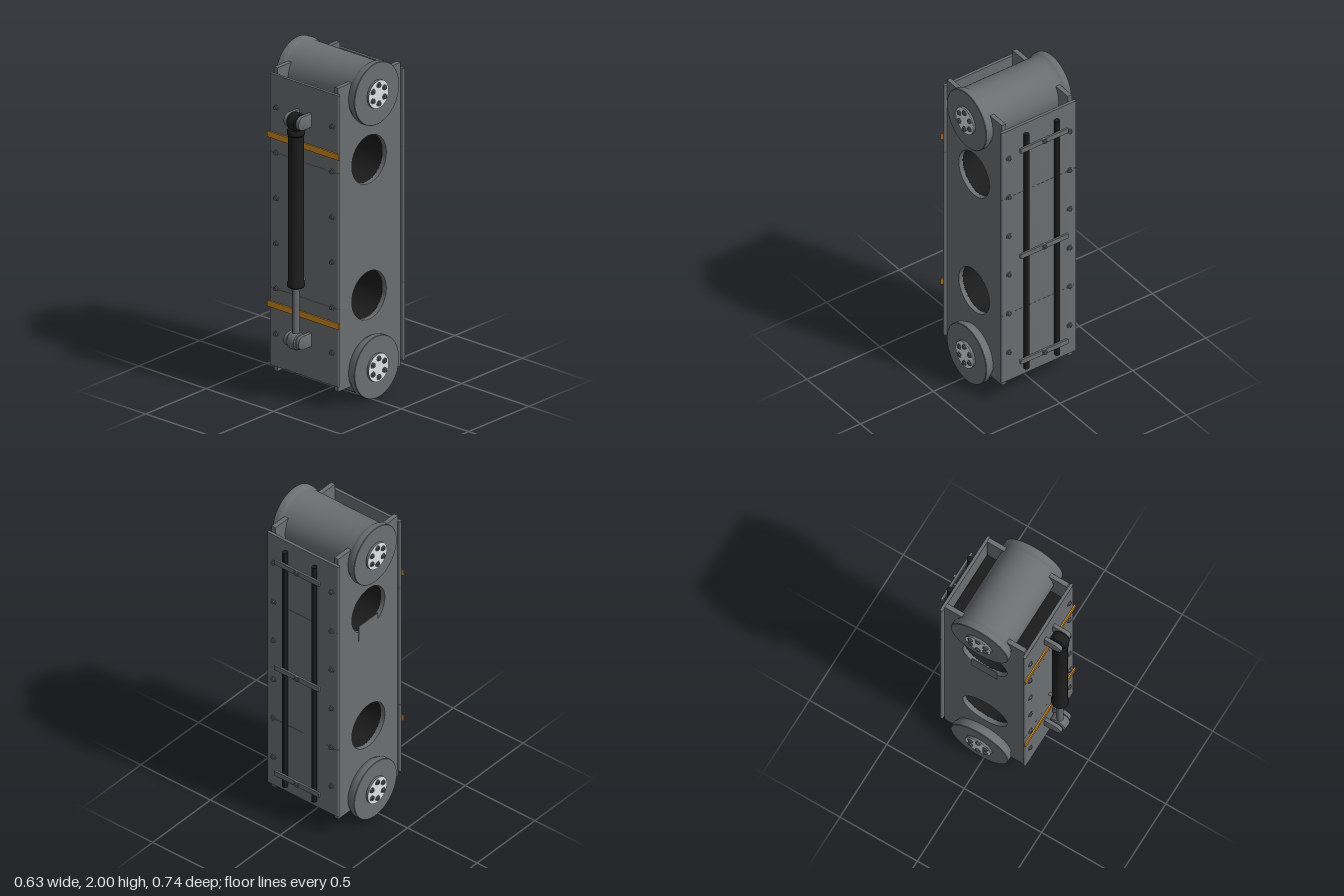
import * as THREE from 'three';
import { RoundedBoxGeometry } from 'three/addons/geometries/RoundedBoxGeometry.js';
import { toCreasedNormals } from 'three/addons/utils/BufferGeometryUtils.js';

const paint = (name, color) => {
  const m = new THREE.MeshStandardMaterial({ color });
  m.name = name;
  return m;
};

export function createModel() {
  const steel = paint('steel grey', 0x6b6f72);
  const black = paint('matte black', 0x1c1c1c);
  const orange = paint('orange', 0xd28a20);
  const bright = paint('bright metal', 0xe0e2e3);
  const model = new THREE.Group();
  model.name = 'rollerLeg';

  const DZ = -0.028;             // axis of drums
  const HOLES = [0.6, 1.41];     // heights of side openings and panel joints
  const PI = Math.PI;

  const add = (name, geo, mat, x = 0, y = 0, z = 0, parent = model) => {
    const m = new THREE.Mesh(geo, mat);
    m.name = name;
    m.position.set(x, y, z);
    parent.add(m);
    return m;
  };
  const cyl = (r, h, seg = 32) => toCreasedNormals(new THREE.CylinderGeometry(r, r, h, seg), 0.8);
  const cylX = (r, h, seg) => cyl(r, h, seg).rotateZ(PI / 2);
  const cylZ = (r, h, seg) => cyl(r, h, seg).rotateX(PI / 2);
  const lathe = (pts, seg = 48) => toCreasedNormals(
    new THREE.LatheGeometry(pts.map(p => new THREE.Vector2(...p)), seg), 0.6);

  // Slab in the z-y plane pierced by the two round openings, extruded along x
  function piercedSlab(z0, z1, y0, y1, width) {
    const s = new THREE.Shape();
    s.moveTo(-z1, y0); s.lineTo(-z0, y0); s.lineTo(-z0, y1); s.lineTo(-z1, y1); s.closePath();
    for (const y of HOLES) s.holes.push(new THREE.Path().absarc(0.024, y, 0.143, 0, PI * 2, true));
    const g = new THREE.ExtrudeGeometry(s, { depth: width, bevelEnabled: false, curveSegments: 32 });
    return toCreasedNormals(g.translate(0, 0, -width / 2).rotateY(PI / 2), 0.6);
  }

  // Side plates and dark inner core
  for (const s of [-1, 1]) {
    add(s > 0 ? 'leftSidePlate' : 'rightSidePlate',
      piercedSlab(-0.285, 0.231, 0.1, 1.91, 0.027), steel, s * 0.2255);
  }
  add('innerCore', piercedSlab(-0.283, 0.227, 0.3, 1.7, 0.423), black);
  add('rightTag', new THREE.BoxGeometry(0.005, 0.105, 0.165), steel, -0.2405, 1.287, -0.026);

  // Front and back covers: three butted panels with rounded long edges
  function coverPanel(height, thick) {
    const r = thick / 2, w = 0.257;
    const s = new THREE.Shape();
    s.absarc(w - r, 0, r, -PI / 2, PI / 2);
    s.absarc(-w + r, 0, r, PI / 2, PI * 1.5);
    s.closePath();
    const g = new THREE.ExtrudeGeometry(s, { depth: height, bevelEnabled: false, curveSegments: 10 });
    return toCreasedNormals(g.rotateX(-PI / 2), 0.6);
  }

  // Socket-head bolt on a washer, pointing along +y of its group
  const boltHead = lathe([[0.012, 0], [0.012, 0.011], [0.006, 0.011], [0.006, 0.006], [0, 0.006]], 12);
  function bolt(name, x, y, z, parent = model) {
    const g = new THREE.Group();
    g.name = name;
    g.position.set(x, y, z);
    add('washer', cyl(0.0175, 0.005, 20), steel, 0, 0.002, 0, g);
    add('head', boltHead, steel, 0, 0, 0, g);
    parent.add(g);
    return g;
  }
  for (const [side, z, dir] of [['front', 0.239, 1], ['back', -0.2975, -1]]) {
    const cuts = [0.135, ...HOLES, 1.875];
    for (let i = 0; i < 3; i++) {
      add(side + 'Cover', coverPanel(cuts[i + 1] - cuts[i] - 0.001, 0.018), steel, 0, cuts[i], z);
    }
    for (let i = 0; i < 6; i++) {
      for (const x of [-0.208, 0.208]) {
        bolt(side + 'Bolt', x, 0.33 + i * 0.27, z + dir * 0.009).rotation.x = dir * PI / 2;
      }
    }
  }

  // Orange bands across the front
  for (const y of [0.5, 1.51]) {
    add('orangeBand', new THREE.BoxGeometry(0.535, 0.035, 0.008), orange, 0, y, 0.252);
  }

  // Flanged drums with bolted hubs
  const half = [[0.185, 0.262], [0.182, 0.255], [0.176, 0.247], [0.1725, 0.236]];
  const drumProfile = [
    [0, -0.294], [0.182, -0.294], [0.185, -0.291],
    ...half.map(([r, x]) => [r, -x]),
    ...half.slice().reverse(),
    [0.185, 0.291], [0.182, 0.294], [0, 0.294],
  ];
  for (const [name, y] of [['lowerDrum', 0.185], ['upperDrum', 1.815]]) {
    const g = new THREE.Group();
    g.name = name;
    g.position.set(0, y, DZ);
    add('drum', lathe(drumProfile, 64).rotateZ(PI / 2), steel, 0, 0, 0, g);
    for (const s of [-1, 1]) {
      add('hub', cylX(0.083, 0.014, 40), steel, s * 0.3, 0, 0, g);
      add('hubFace', cylX(0.082, 0.002, 40), bright, s * 0.307, 0, 0, g);
      for (let i = 0; i < 6; i++) {
        const a = i * PI / 3 + PI / 2;
        bolt('hubBolt', s * 0.306, Math.sin(a) * 0.055, Math.cos(a) * 0.055, g).rotation.z = -s * PI / 2;
      }
    }
    model.add(g);
  }

  // Piston on the front
  const PZ = 0.315;
  add('pistonBarrel', lathe([
    [0, 0.69], [0.046, 0.69], [0.05, 0.695], [0.05, 0.712], [0.044, 0.722],
    [0.044, 1.592], [0.05, 1.6], [0.05, 1.622], [0.045, 1.63], [0, 1.63],
  ], 32), black, 0, 0, PZ);
  add('pistonRod', cyl(0.021, 0.31, 24), steel, 0, 0.535, PZ);
  add('rodSeal', cyl(0.027, 0.02, 24), steel, 0, 0.68, PZ);
  for (const y of [0.715, 1.605]) add('pistonPort', cylZ(0.01, 0.04, 12), steel, 0, y, 0.262);

  // Rounded eye at each end of the piston, held in a pair of lugs
  const eyeProfile = [[0, -0.031], [0.042, -0.031], [0.049, -0.026], [0.052, -0.016],
    [0.052, 0.016], [0.049, 0.026], [0.042, 0.031], [0, 0.031]];
  const lugShape = new THREE.Shape();
  lugShape.moveTo(-0.245, -0.038);
  lugShape.lineTo(-PZ, -0.038);
  lugShape.absarc(-PZ, 0, 0.038, -PI / 2, PI / 2, true);
  lugShape.lineTo(-0.245, 0.038);
  lugShape.closePath();
  const lug = toCreasedNormals(new THREE.ExtrudeGeometry(lugShape, {
    depth: 0.017, bevelThickness: 0.003, bevelSize: 0.003, bevelSegments: 2, curveSegments: 12,
  }).translate(0, 0, -0.0085).rotateY(PI / 2), 0.6);
  for (const [name, y, mat] of [['lower', 0.367, steel], ['upper', 1.675, black]]) {
    add(name + 'Eye', lathe(eyeProfile, 32).rotateZ(PI / 2), mat, 0, y, PZ);
    for (const s of [-1, 1]) add(name + 'Lug', lug, steel, s * 0.0455, y);
  }

  // Rails and clamp bars on the back
  for (const x of [-0.105, 0.105]) add('backRail', cyl(0.016, 1.63, 20), black, x, 1.005, -0.331);
  for (const y of [0.27, 1.005, 1.74]) {
    add('clampBar', new RoundedBoxGeometry(0.327, 0.034, 0.015, 2, 0.004), steel, 0, y, -0.352);
    bolt('clampBolt', 0, y, -0.3585).rotation.x = -PI / 2;
  }
  return model;
}
